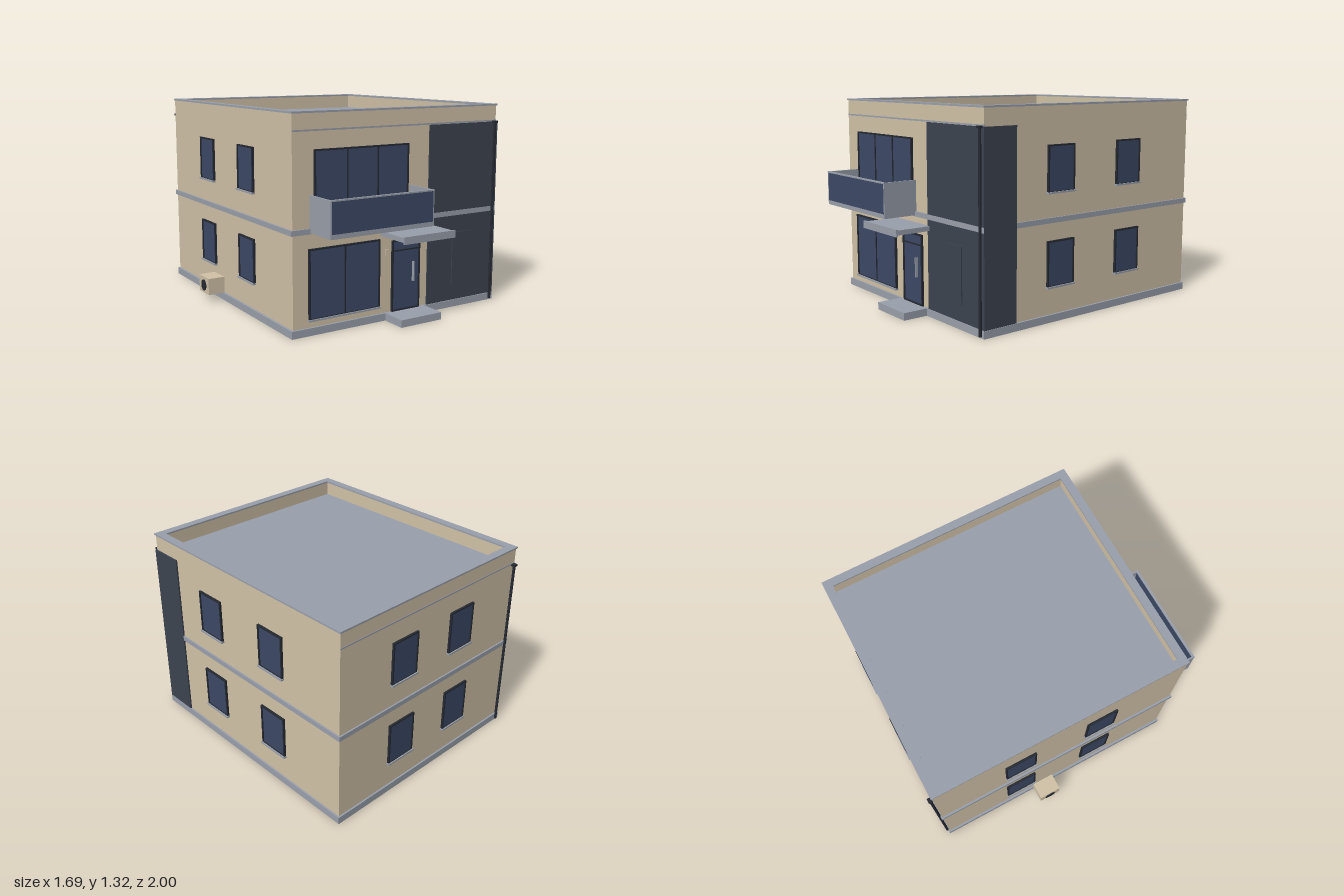
import * as THREE from 'three';

const mat = (name, color, side = THREE.FrontSide) => {
  const m = new THREE.MeshStandardMaterial({ color, side });
  m.name = name;
  return m;
};

export function createModel() {
  const wall = mat('sand render', 0xd2c3a8);
  const grey = mat('grey concrete', 0x9aa0ac, THREE.DoubleSide);
  const dark = mat('charcoal cladding', 0x3d4450);
  const frame = mat('black metal', 0x262a32);
  const glass = mat('blue glass', 0x3c4966);

  const house = new THREE.Group();
  house.name = 'house';

  // Wall faces of the main block
  const X0 = -0.713, X1 = 0.82, Z0 = -0.972, Z1 = 0.756;

  // Box given by its minimum and maximum on each axis
  const box = (name, m, x0, x1, y0, y1, z0, z1, parent = house) => {
    const mesh = new THREE.Mesh(new THREE.BoxGeometry(x1 - x0, y1 - y0, z1 - z0), m);
    mesh.position.set((x0 + x1) / 2, (y0 + y1) / 2, (z0 + z1) / 2);
    mesh.name = name;
    parent.add(mesh);
    return mesh;
  };

  // Box without its bottom face, hollow from below
  const openBox = (...args) => {
    const g = box(...args).geometry;
    const { start, count } = g.groups[3];
    g.setIndex([...g.index.array].filter((_, i) => i < start || i >= start + count));
    g.clearGroups();
  };

  const rect = (Type, x0, x1, y0, y1) => {
    const p = new Type();
    p.moveTo(x0, y0);
    p.lineTo(x1, y0);
    p.lineTo(x1, y1);
    p.lineTo(x0, y1);
    p.closePath();
    return p;
  };

  // Rectangular ring around the roof, "out" beyond the walls and "inner" within them
  const roofRing = (name, m, out, inner, y0, y1) => {
    const s = rect(THREE.Shape, X0 - out, X1 + out, -Z1 - out, -Z0 + out);
    s.holes.push(rect(THREE.Path, X0 + inner, X1 - inner, -Z1 + inner, -Z0 - inner));
    const g = new THREE.ExtrudeGeometry(s, { depth: y1 - y0, bevelEnabled: false });
    g.rotateX(-Math.PI / 2);
    const mesh = new THREE.Mesh(g, m);
    mesh.position.y = y0;
    mesh.name = name;
    house.add(mesh);
  };

  // Main block, plinth and roof
  openBox('plinth', grey, X0 - 0.013, X1 + 0.01, 0, 0.047, Z0 - 0.01, Z1 + 0.01);
  box('walls', wall, X0, X1, 0.0485, 1.205, Z0, Z1);
  box('roofDeck', grey, X0 + 0.02, X1 - 0.02, 1.2, 1.212, Z0 + 0.02, Z1 - 0.02);
  roofRing('parapet', wall, 0, 0.041, 1.2, 1.306);
  roofRing('coping', grey, 0.007, 0.048, 1.305, 1.316);
  box('floorBand', grey, X0 - 0.013, X1 + 0.01, 0.61, 0.642, Z0 - 0.01, Z1 + 0.01);
  box('frontRoofLine', grey, X0, X1, 1.202, 1.212, Z1 - 0.01, Z1 + 0.002);
  box('backRoofLine', grey, X0, X1, 1.202, 1.212, Z0 - 0.002, Z0 + 0.01);

  // Dark cladding wrapping the front corner
  box('frontCladding', dark, 0.266, X1 + 0.008, 0.0485, 1.201, Z1 - 0.01, Z1 + 0.008);
  box('sideCladding', dark, X1 - 0.01, X1 + 0.0105, 0.0485, 1.201, 0.528, Z1 + 0.008);
  box('claddingPanel', dark, 0.465, 0.62, 0.15, 0.5, Z1, Z1 + 0.0155);

  // Glazed unit facing +z with its lower centre at the origin
  const glazing = (name, w, h, panes, sill) => {
    const g = new THREE.Group();
    g.name = name;
    const b = 0.01, d = 0.014;
    const s = rect(THREE.Shape, -w / 2, w / 2, 0, h);
    s.holes.push(rect(THREE.Path, -w / 2 + b, w / 2 - b, b, h - b));
    const ring = new THREE.Mesh(new THREE.ExtrudeGeometry(s, { depth: d, bevelEnabled: false }), frame);
    ring.name = 'frame';
    g.add(ring);
    box('pane', glass, -w / 2 + b / 2, w / 2 - b / 2, b / 2, h - b / 2, 0, 0.007, g);
    for (let i = 1; i < panes; i++) {
      const x = (w - 2 * b) * (i / panes - 0.5);
      box('mullion', frame, x - 0.004, x + 0.004, b, h - b, 0, 0.012, g);
    }
    if (sill) box('sill', grey, -w / 2 - 0.004, w / 2 + 0.004, -0.004, 0.007, 0, 0.022, g);
    house.add(g);
    return g;
  };

  // Small windows: two rows of two on each side and on the back
  for (const y of [0.217, 0.791]) {
    for (const z of [0.182, -0.394]) {
      const r = glazing('rightSideWindow', 0.214, 0.286, 1, true);
      r.position.set(X1, y, z);
      r.rotation.y = Math.PI / 2;
      const l = glazing('leftSideWindow', 0.214, 0.286, 1, true);
      l.position.set(X0, y, z);
      l.rotation.y = -Math.PI / 2;
    }
    for (const x of [-0.2, 0.306]) {
      const w = glazing('backWindow', 0.214, 0.286, 1, true);
      w.position.set(x, y, Z0);
      w.rotation.y = Math.PI;
    }
  }

  // Large front windows
  glazing('livingRoomWindow', 0.505, 0.43, 2, true).position.set(-0.358, 0.092, Z1);
  glazing('balconyDoors', 0.674, 0.453, 3, false).position.set(-0.235, 0.645, Z1);

  // Entrance door with transom, handle, intercom and step
  const door = glazing('frontDoor', 0.216, 0.4535, 1, false);
  door.position.set(0.094, 0.0485, Z1);
  box('transomBar', frame, -0.1, 0.1, 0.382, 0.39, 0, 0.013, door);
  box('handle', grey, 0.05, 0.056, 0.178, 0.304, 0.007, 0.027, door);
  box('intercom', wall, -0.063, -0.036, 0.415, 0.452, Z1, Z1 + 0.008);
  openBox('step', grey, -0.06, 0.248, 0, 0.047, Z1 + 0.01, 0.932);

  // Entrance canopy
  box('canopy', grey, -0.098, 0.286, 0.541, 0.571, Z1, 0.99);
  box('canopyFascia', grey, -0.1, 0.288, 0.531, 0.577, 0.988, 1);

  // Balcony
  box('balconyFloor', grey, -0.6, 0.13, 0.617, 0.645, Z1, 0.984);
  for (const x of [-0.6, 0.12]) {
    box('balconySide', grey, x, x + 0.01, 0.645, 0.838, Z1, 0.984);
  }
  box('balconyGlass', glass, -0.592, 0.122, 0.645, 0.832, 0.974, 0.985);
  box('balconyRail', grey, -0.6, 0.13, 0.83, 0.839, 0.97, 0.986);

  // Downpipes with a small hopper on top
  for (const [x, z] of [[0.801, Z1 + 0.015], [-0.695, Z0 - 0.014]]) {
    const pipe = new THREE.Mesh(new THREE.CylinderGeometry(0.009, 0.009, 1.19, 12), frame);
    pipe.position.set(x, 0.605, z);
    pipe.name = 'downpipe';
    house.add(pipe);
    box('hopper', frame, x - 0.015, x + 0.015, 1.193, 1.206, z - 0.014, z + 0.014);
  }

  // Air conditioner with a round fan grille
  box('airConditioner', wall, -0.841, -0.727, 0.055, 0.165, -0.3, -0.15);
  const fan = new THREE.Mesh(new THREE.CylinderGeometry(0.037, 0.037, 0.008, 20), frame);
  fan.rotation.z = Math.PI / 2;
  fan.position.set(-0.842, 0.108, -0.225);
  fan.name = 'fanGrille';
  house.add(fan);

  return house;
}
